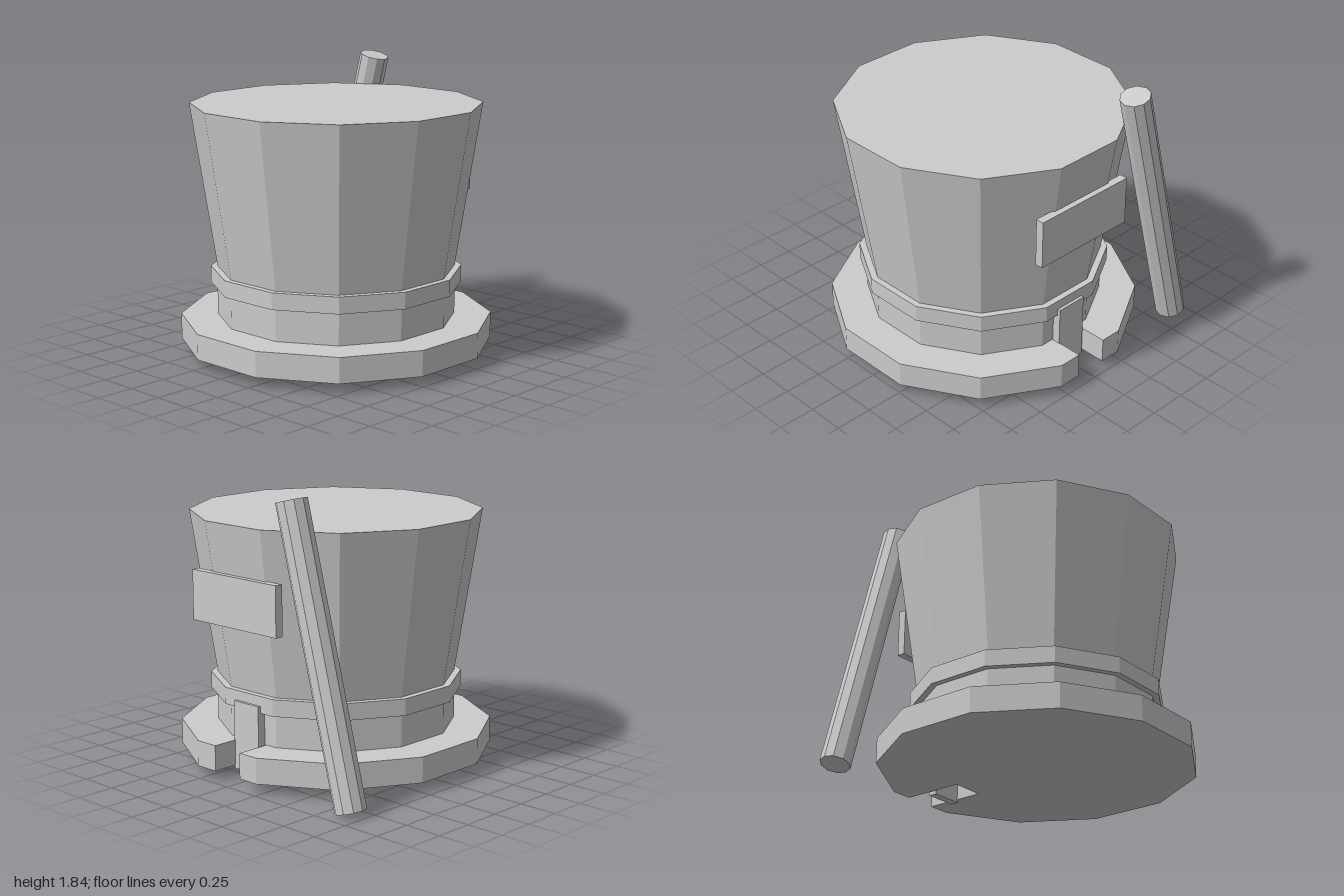
import * as THREE from 'three';

const SIDES = 12;
const CENTRE_Z = 0.025;
const toRadius = (apothem) => apothem / Math.cos(Math.PI / SIDES);

export function createModel() {
  const group = new THREE.Group();
  const material = new THREE.MeshStandardMaterial({ color: 0xcccccc, flatShading: true });

  function add(name, geometry, x, y, z) {
    const mesh = new THREE.Mesh(geometry, material);
    mesh.name = name;
    mesh.position.set(x, y, z);
    group.add(mesh);
    return mesh;
  }

  // Twelve-sided drum with a flat side toward each axis, sized by its apothems
  function drum(name, bottom, top, y0, y1) {
    const geometry = new THREE.CylinderGeometry(
      toRadius(top), toRadius(bottom), y1 - y0, SIDES, 1, false, Math.PI / SIDES);
    return add(name, geometry, 0, (y0 + y1) / 2, CENTRE_Z);
  }

  // Box given by its limits
  function block(name, [x0, x1], [y0, y1], [z0, z1]) {
    return add(name, new THREE.BoxGeometry(x1 - x0, y1 - y0, z1 - z0),
      (x0 + x1) / 2, (y0 + y1) / 2, (z0 + z1) / 2);
  }

  // Base plate with a slot cut in from its left side
  const outline = [];
  for (let i = 0; i < SIDES; i++) {
    const a = ((i + 0.5) / SIDES) * Math.PI * 2;
    outline.push(new THREE.Vector2(Math.cos(a), Math.sin(a)).multiplyScalar(toRadius(0.975)));
  }
  for (const [x, y] of [[0.975, -0.105], [0.57, -0.105], [0.57, 0.115], [0.975, 0.115]]) {
    outline.push(new THREE.Vector2(x, y));
  }
  const plate = new THREE.ExtrudeGeometry(new THREE.Shape(outline), { depth: 0.165, bevelEnabled: false });
  plate.rotateX(-Math.PI / 2);
  add('basePlate', plate, 0, 0.07, CENTRE_Z);

  // Neck, band and flared body
  drum('neck', 0.745, 0.745, 0.235, 0.45);
  drum('band', 0.785, 0.785, 0.445, 0.553);
  drum('body', 0.743, 0.905, 0.55, 1.62);

  // Side plaque and the post standing in the slot
  block('plaque', [0.84, 0.895], [0.98, 1.3], [-0.335, 0.4]);
  block('post', [0.75, 0.805], [0.05, 0.49], [-0.08, 0.135]);

  // Leaning rod
  const rodBottom = new THREE.Vector3(0.85, 0.028, -0.905);
  const rodTop = new THREE.Vector3(0.85, 1.815, -0.428);
  const axis = rodTop.clone().sub(rodBottom);
  const middle = rodBottom.clone().lerp(rodTop, 0.5);
  const rod = add('rod', new THREE.CylinderGeometry(0.098, 0.098, axis.length(), 10),
    middle.x, middle.y, middle.z);
  rod.rotation.x = Math.atan2(axis.z, axis.y);

  return group;
}
